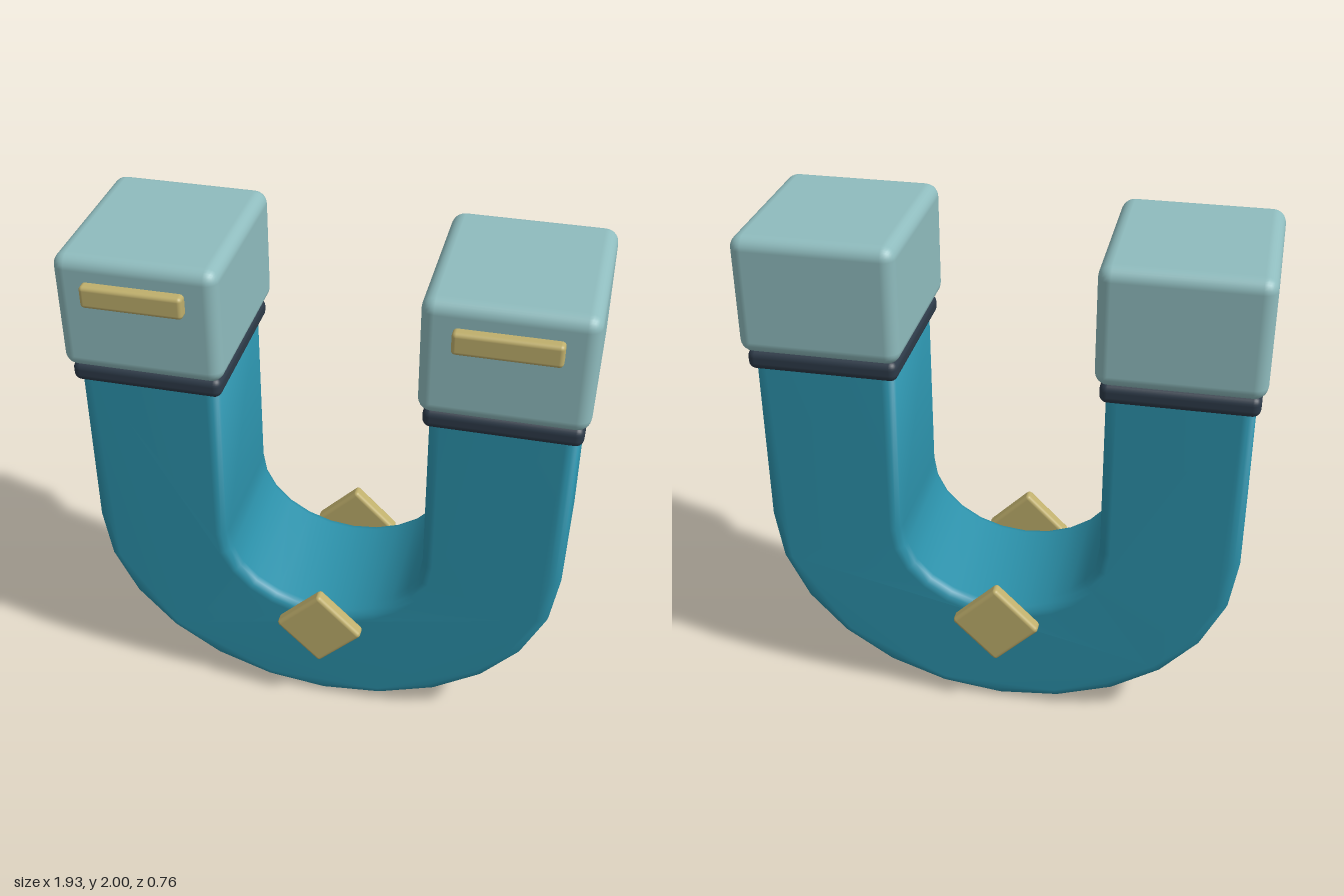
import * as THREE from 'three';
import { mergeVertices } from 'three/addons/utils/BufferGeometryUtils.js';
import { RoundedBoxGeometry } from 'three/addons/geometries/RoundedBoxGeometry.js';

const material = (name, color) => {
  const m = new THREE.MeshStandardMaterial({ color });
  m.name = name;
  return m;
};

// Rounded box placed by its centre
function block(name, size, radius, position, mat) {
  const mesh = new THREE.Mesh(new RoundedBoxGeometry(...size, 3, radius), mat);
  mesh.name = name;
  mesh.position.set(...position);
  return mesh;
}

// U-shaped bar: elliptical bend below two straight legs, bevelled front and back
function horseshoeGeometry() {
  const top = 1.56, bendY = 0.79, steps = 12, bevel = 0.045, depth = 0.586;
  const arc = (rx, ry, i) => {
    const a = (i / steps) * Math.PI;
    return new THREE.Vector2(-rx * Math.cos(a), bendY - ry * Math.sin(a));
  };
  const points = [new THREE.Vector2(-0.93, top)];
  for (let i = 0; i <= steps; i++) points.push(arc(0.93, 0.785, i));
  points.push(new THREE.Vector2(0.93, top), new THREE.Vector2(0.392, top));
  for (let i = steps; i >= 0; i--) points.push(arc(0.392, 0.322, i));
  points.push(new THREE.Vector2(-0.392, top));

  const extruded = new THREE.ExtrudeGeometry(new THREE.Shape(points), {
    depth: depth - 2 * bevel, bevelEnabled: true, bevelSize: bevel,
    bevelThickness: bevel, bevelOffset: -bevel, bevelSegments: 3,
  });
  extruded.translate(0, 0, -depth / 2 + bevel - 0.008);
  // Weld the corners so that the bend and bevels shade smoothly
  extruded.deleteAttribute('uv');
  extruded.deleteAttribute('normal');
  const geometry = mergeVertices(extruded, 1e-4);
  geometry.computeVertexNormals();
  return geometry;
}

export function createModel() {
  const blue = material('magnet blue', 0x2b90a9);
  const pale = material('pale teal', 0x8fbcbe);
  const gold = material('gold', 0xbfaf6c);
  const dark = material('dark slate', 0x2d3a48);

  const model = new THREE.Group();
  model.name = 'horseshoeMagnet';

  const body = new THREE.Mesh(horseshoeGeometry(), blue);
  body.name = 'body';
  model.add(body);

  // Collar, pole tip and front bar on each leg
  for (const [side, s] of [['left', 1], ['right', -1]]) {
    model.add(
      block(side + 'Collar', [0.575, 0.08, 0.635], 0.03, [s * 0.66, 1.5, -0.008], dark),
      block(side + 'Tip', [0.61, 0.46, 0.695], 0.05, [s * 0.66, 1.77, -0.008], pale),
      block(side + 'TipBar', [0.38, 0.087, 0.06], 0.016, [s * 0.662, 1.868, 0.348], gold),
    );
  }

  // Diamond plates, front and back
  for (const [name, z] of [['frontDiamond', 0.336], ['backDiamond', -0.35]]) {
    const diamond = block(name, [0.25, 0.25, 0.058], 0.016, [0, 0.435, z], gold);
    diamond.rotation.z = Math.PI / 4;
    model.add(diamond);
  }
  return model;
}
